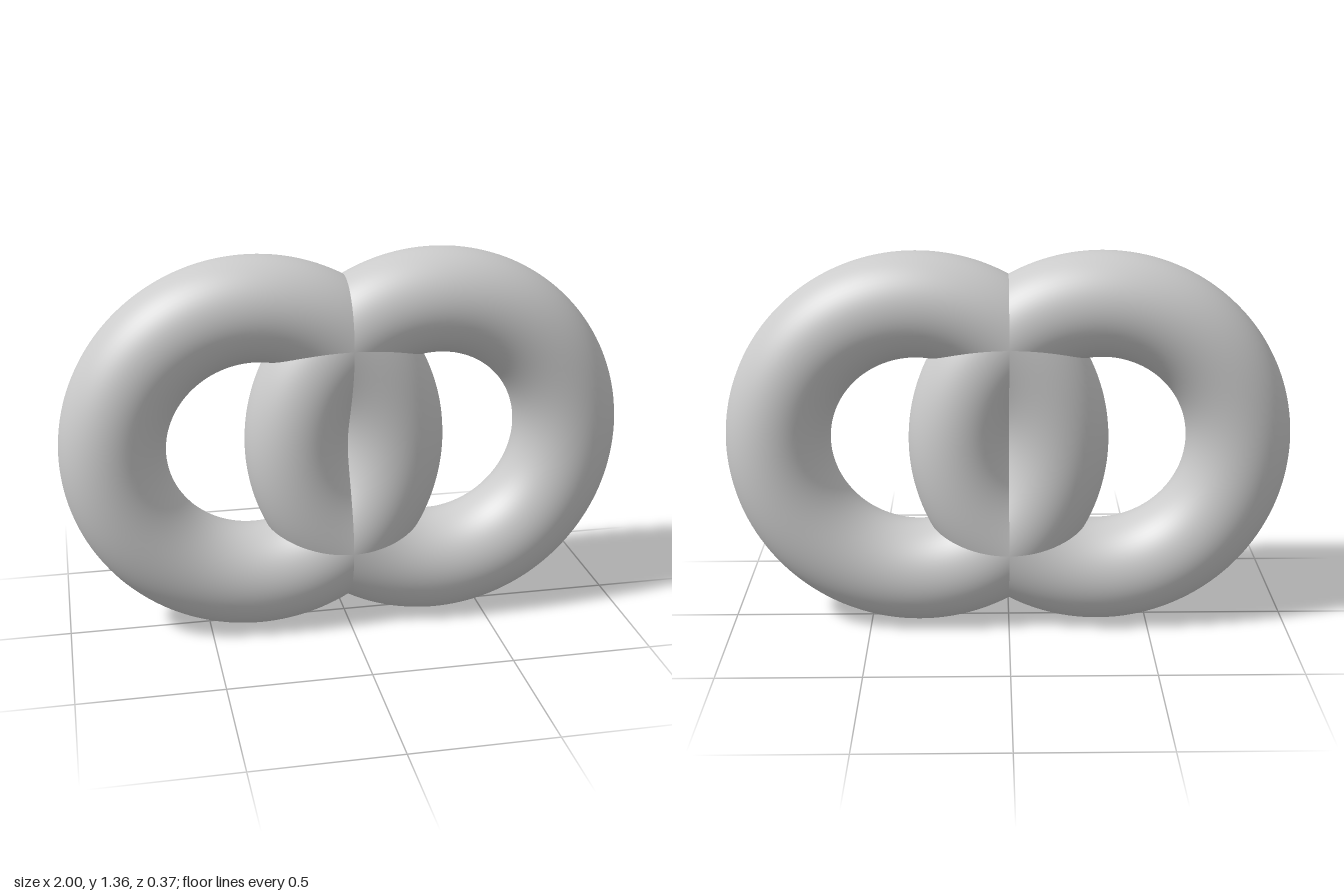
import * as THREE from 'three';

const TUBE = 0.184;   // radius of the ring's round section
const RING = 0.4935;  // radius of the ring's centre line
const OFFSET = 1 - RING - TUBE; // ring centre distance from the middle

export function createModel() {
  const group = new THREE.Group();
  group.name = 'interlockedRings';
  const material = new THREE.MeshStandardMaterial({ color: 0xcccccc });
  const geometry = new THREE.TorusGeometry(RING, TUBE, 64, 160);

  // Two equal upright rings merging through each other, mirrored about x = 0
  for (const [name, side] of [['leftRing', 1], ['rightRing', -1]]) {
    const ring = new THREE.Mesh(geometry, material);
    ring.name = name;
    ring.position.set(side * OFFSET, RING + TUBE, 0);
    if (side < 0) ring.rotation.y = Math.PI; // mirrored seams
    group.add(ring);
  }
  return group;
}
